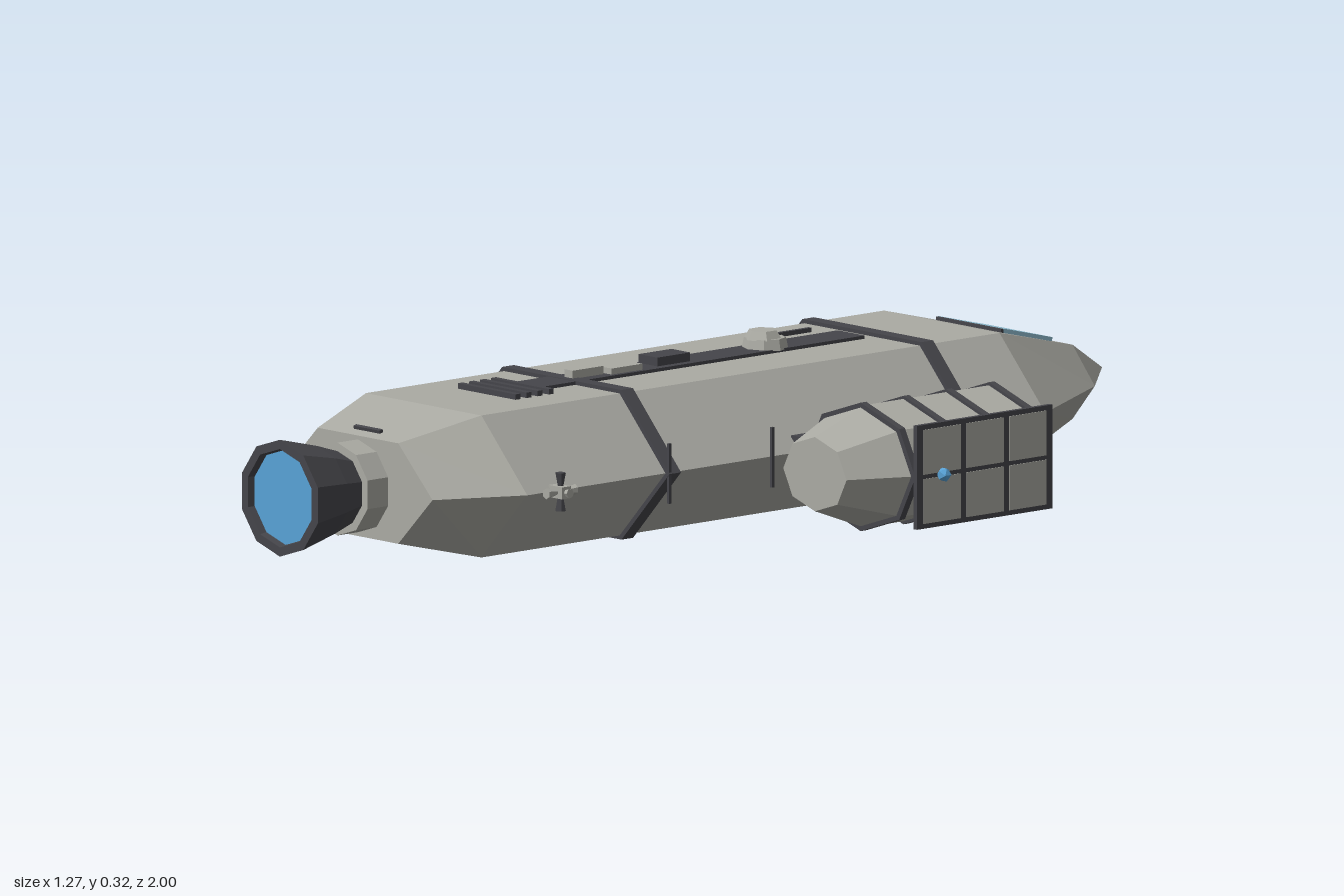
import * as THREE from 'three';

const paint = (name, color) => {
  const m = new THREE.MeshStandardMaterial({ color });
  m.name = name;
  return m;
};

export function createModel() {
  const grey = paint('hullGrey', 0xaaaaa3), dark = paint('darkMetal', 0x45454a);
  const glow = paint('glowBlue', 0x58a2d6), glass = paint('windowBlue', 0x93c2d6);
  const red = paint('beaconRed', 0xa82410);
  const ship = new THREE.Group();
  ship.name = 'spaceship';
  const Y = 0.155; // height of the main axis

  // Faceted mesh placed in the ship
  function add(name, geo, mat, x = 0, y = 0, z = 0, rx = 0) {
    const g = geo.index ? geo.toNonIndexed() : geo;
    g.computeVertexNormals();
    const m = new THREE.Mesh(g, mat);
    m.name = name;
    m.position.set(x, y, z);
    m.rotation.x = rx;
    ship.add(m);
    return m;
  }
  const box = (name, mat, w, h, d, x, y, z, rx) =>
    add(name, new THREE.BoxGeometry(w, h, d), mat, x, y, z, rx);

  // Six-sided loft along z; each section is [z, halfWidth, halfTop, halfHeight]
  function loft(sections) {
    const rings = sections.map(([z, w, t, h]) =>
      [[w, 0], [t, h], [-t, h], [-w, 0], [-t, -h], [t, -h]].map(([x, y]) => [x, y, z]));
    const pos = [];
    for (let i = 0; i < rings.length - 1; i++) {
      for (let j = 0; j < 6; j++) {
        const k = (j + 1) % 6;
        const a = rings[i][j], b = rings[i][k], c = rings[i + 1][k], d = rings[i + 1][j];
        pos.push(...a, ...b, ...c, ...a, ...c, ...d);
      }
    }
    const g = new THREE.BufferGeometry();
    g.setAttribute('position', new THREE.Float32BufferAttribute(pos, 3));
    return g;
  }

  // Turned body along z from [radius, z] points, squashed in y
  function turned(profile, sides = 8, squash = 1) {
    const g = new THREE.LatheGeometry(profile.map(p => new THREE.Vector2(...p)), sides);
    return g.rotateX(Math.PI / 2).scale(1, squash, 1);
  }

  // Main hull and its bands
  add('hull', loft([
    [-1, 0, 0, 0], [-0.86, 0.135, 0.075, 0.068], [-0.61, 0.278, 0.155, 0.13],
    [0.65, 0.278, 0.155, 0.13], [0.81, 0.2, 0.108, 0.092], [0.81, 0, 0, 0],
  ]), grey, 0, Y, 0);
  for (const z of [-0.43, 0.3]) {
    add('hullBand', loft([
      [-0.014, 0, 0, 0], [-0.014, 0.289, 0.16, 0.137],
      [0.014, 0.289, 0.16, 0.137], [0.014, 0, 0, 0],
    ]), dark, 0, Y, z);
  }
  box('cockpitWindow', glass, 0.175, 0.009, 0.122, 0, 0.256, -0.74, -0.245);
  box('windowSill', dark, 0.175, 0.008, 0.006, 0, 0.271, -0.678);
  box('noseSensor', dark, 0.03, 0.022, 0.025, 0, 0.092, -0.89);
  box('tailSlot', dark, 0.07, 0.006, 0.008, 0, 0.256, 0.785, 0.23);

  // Main engine
  add('engineNeck', turned([[0, 0.8], [0.085, 0.8], [0.085, 0.86], [0, 0.86]], 10), grey, 0, Y, 0);
  add('engineNozzle', turned([
    [0, 0.855], [0.068, 0.855], [0.085, 0.91], [0.107, 1], [0.09, 1], [0.087, 0.985],
  ], 10), dark, 0, Y, 0);
  add('engineGlow', turned([[0.089, 0.986], [0, 0.986]], 10), glow, 0, Y, 0);

  // Spine with its equipment
  box('spinePlate', dark, 0.072, 0.008, 0.87, 0, 0.287, 0.045);
  [0.41, 0.437, 0.464, 0.491].forEach(z =>
    box('radiatorBar', dark, 0.155, 0.012, 0.012, 0, 0.289, z));
  box('spineBox', dark, 0.05, 0.022, 0.08, -0.005, 0.296, 0.06);
  box('spineCrate', grey, 0.022, 0.014, 0.075, 0.016, 0.295, 0.18);
  box('spineCrate', grey, 0.022, 0.02, 0.075, 0.002, 0.296, 0.262);
  add('turretBase', new THREE.CylinderGeometry(0.038, 0.042, 0.02, 8), grey, 0, 0.299, -0.18);
  add('turretHead', new THREE.CylinderGeometry(0.026, 0.036, 0.016, 6), grey, 0, 0.315, -0.175);
  box('turretBarrel', dark, 0.008, 0.008, 0.1, 0, 0.309, -0.24);

  // Belly hatches
  box('bellyCrate', grey, 0.035, 0.028, 0.045, -0.033, 0.014, 0.26);
  box('bellyBox', dark, 0.025, 0.02, 0.045, 0.008, 0.018, 0.14);
  for (const z of [-0.06, -0.28]) {
    box('bellyHatch', grey, 0.05, 0.009, 0.06, 0, 0.023, z);
    box('hatchSlot', dark, 0.02, 0.009, 0.02, 0, 0.021, z);
  }

  // Side thrusters and aerials, mirrored
  for (const s of [1, -1]) {
    box('thrusterBlock', grey, 0.036, 0.022, 0.022, s * 0.288, Y, 0.58);
    for (let i = 0; i < 4; i++) {
      const nozzle = new THREE.CylinderGeometry(0.005, 0.01, 0.026, 6).translate(0, -0.022, 0);
      add('thrusterNozzle', nozzle, i % 2 ? grey : dark, s * 0.29, Y, 0.58, i * Math.PI / 2);
    }
    add('thrusterTip', new THREE.CylinderGeometry(0.009, 0.005, 0.016, 6).rotateZ(-s * Math.PI / 2),
      grey, s * 0.308, Y, 0.58);
    for (const z of [0.31, 0.06])
      box('aerial', dark, 0.006, 0.11, 0.006, s * 0.284, Y, z);
  }
  box('airlock', grey, 0.05, 0.065, 0.07, 0.262, Y, -0.435);
  box('airlockDoor', dark, 0.008, 0.03, 0.022, 0.287, Y, -0.432);

  // Wide pod on the left side
  const podX = 0.465, squash = 0.8;
  add('widePod', turned([[0, -0.43], [0.14, -0.31], [0.14, 0], [0.085, 0.12], [0, 0.12]], 8, squash),
    grey, podX, Y, 0);
  for (let i = 0; i < 4; i++) {
    add('podBand', turned([
      [0.12, -0.007], [0.147, -0.007], [0.147, 0.007], [0.12, 0.007],
    ], 8, squash), dark, podX, Y, -0.31 + i * 0.104);
  }
  for (const z of [-0.27, -0.04]) {
    box('widePodArm', dark, 0.09, 0.035, 0.055, 0.3, 0.165, z);
    box('widePodClamp', dark, 0.03, 0.05, 0.04, 0.33, 0.155, z);
  }

  // Solar panel: dark plate with grey cells
  box('solarPanel', dark, 0.009, 0.19, 0.33, 0.613, Y, -0.155);
  for (let c = 0; c < 3; c++) for (const s of [1, -1])
    box('solarCell', grey, 0.004, 0.082, 0.09, 0.617, Y + s * 0.045, -0.259 + c * 0.104);
  add('blueBeacon', new THREE.IcosahedronGeometry(0.014), glow, 0.624, Y, -0.05);

  // Slim pod on the right side with its front probe
  const slimX = -0.427, slimY = 0.128;
  add('slimPod', turned([
    [0, -0.7], [0.07, -0.7], [0.083, -0.68], [0.083, 0.22], [0.056, 0.3], [0, 0.3],
  ], 8, 0.81), grey, slimX, slimY, 0);
  box('slimPodPlate', grey, 0.009, 0.065, 0.3, -0.511, slimY, -0.25);
  for (const z of [-0.46, 0.1]) {
    box('slimPodArm', dark, 0.1, 0.05, 0.055, -0.305, 0.138, z);
    box('slimPodClamp', dark, 0.03, 0.06, 0.04, -0.285, 0.145, z);
  }
  add('probeJoint', turned([
    [0, -0.815], [0.04, -0.805], [0.066, -0.77], [0.066, -0.73], [0.045, -0.69],
  ], 8, 0.85), dark, slimX, slimY, 0);
  add('probeNeck', turned([[0, -0.89], [0.04, -0.89], [0.04, -0.8]], 8), grey, slimX, slimY, 0);
  add('probeRing', turned([[0, -0.905], [0.05, -0.905], [0.05, -0.88], [0, -0.88]], 8),
    dark, slimX, slimY, 0);
  add('probeLight', turned([[0, -0.928], [0.02, -0.928], [0.034, -0.9]], 8), glow, slimX, slimY, 0);

  // Free red beacon
  add('redBeacon', new THREE.IcosahedronGeometry(0.016), red, -0.62, Y, -0.055);

  return ship;
}
